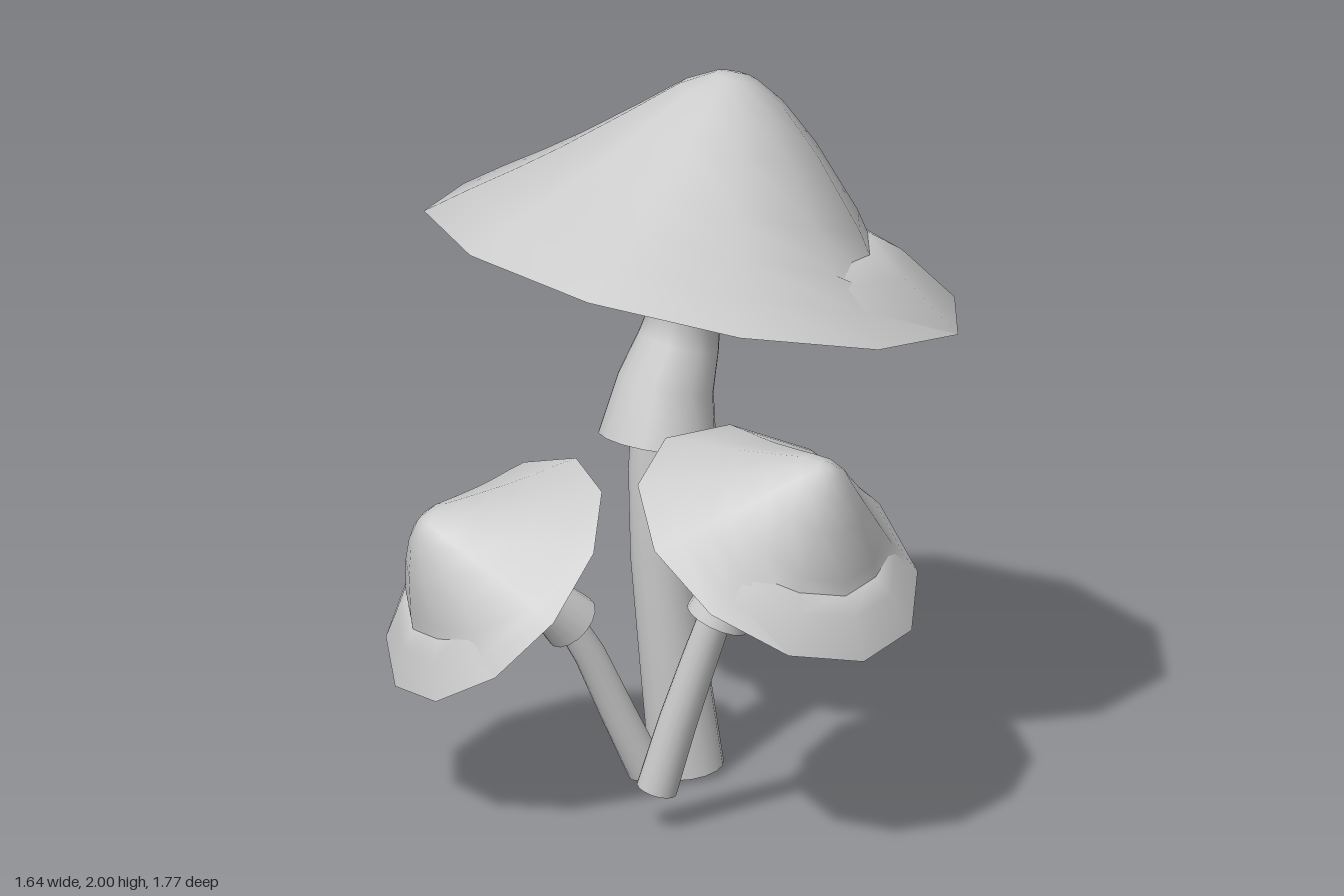
import * as THREE from 'three';
import { mergeVertices } from 'three/addons/utils/BufferGeometryUtils.js';

const material = new THREE.MeshStandardMaterial({ color: 0xcccccc, side: THREE.DoubleSide });
const UP = new THREE.Vector3(0, 1, 0);
const V = (a) => new THREE.Vector3(...a);

function makeMesh(name, geometry) {
  geometry.deleteAttribute('uv');
  geometry.deleteAttribute('normal');
  const welded = mergeVertices(geometry, 1e-4);
  welded.computeVertexNormals();
  const mesh = new THREE.Mesh(welded, material);
  mesh.name = name;
  return mesh;
}

// Open tube through rows of [x, y, z, radius]; endAxis can tilt the last ring
function loft(rows, endAxis, sides = 16) {
  const centres = rows.map((r) => V(r.slice(0, 3)));
  const last = rows.length - 1;
  const geometry = new THREE.LatheGeometry(rows.map((r, i) => new THREE.Vector2(1, i)), sides);
  const turns = rows.map((r, i) => {
    const t = i === last && endAxis
      ? endAxis.clone()
      : centres[Math.min(i + 1, last)].clone().sub(centres[Math.max(i - 1, 0)]);
    return new THREE.Quaternion().setFromUnitVectors(UP, t.normalize());
  });
  const pos = geometry.attributes.position;
  const v = new THREE.Vector3();
  for (let k = 0; k < pos.count; k++) {
    v.fromBufferAttribute(pos, k);
    const i = Math.round(v.y);
    v.setY(0).multiplyScalar(rows[i][3]).applyQuaternion(turns[i]).add(centres[i]);
    pos.setXYZ(k, v.x, v.y, v.z);
  }
  return geometry;
}

// Eleven-sided cap surface from [radius, height, dent]; dent sinks the local +x side
function capSurface(profile) {
  const geometry = new THREE.LatheGeometry(
    profile.map(([r, h]) => new THREE.Vector2(r, h)), 11, Math.PI);
  const pos = geometry.attributes.position;
  for (let k = 0; k < pos.count; k++) {
    const dent = profile[k % profile.length][2] || 0;
    const angle = Math.atan2(pos.getZ(k), pos.getX(k)) - 0.17;
    const weight = THREE.MathUtils.smoothstep(Math.cos(angle), 0.25, 0.9);
    pos.setY(k, pos.getY(k) - dent * weight);
  }
  return geometry;
}

const CAP_TOP = [[0.76, 0], [0.65, 0.085, 0.05], [0.54, 0.165, 0.11], [0.43, 0.25, 0.04],
  [0.27, 0.385], [0.15, 0.49], [0.06, 0.542], [0, 0.552]];
const CAP_UNDER = [[0.19, -0.01], [0.28, 0.07], [0.45, 0.16], [0.58, 0.115], [0.76, 0]];

function mushroom({ name, centre, axis, scale, stem, collar }) {
  const group = new THREE.Group();
  group.name = name;
  const a = V(axis).normalize();

  // Cap leans so that its dented side points downhill
  const w = new THREE.Vector3(a.x, 0, a.z).cross(a).normalize();
  const u = a.clone().cross(w);
  const cap = new THREE.Group();
  cap.name = 'cap';
  cap.add(makeMesh('capTop', capSurface(CAP_TOP)), makeMesh('capUnderside', capSurface(CAP_UNDER)));
  cap.quaternion.setFromRotationMatrix(new THREE.Matrix4().makeBasis(u, a, w));
  cap.position.copy(V(centre));
  cap.scale.setScalar(scale);

  // Collar flares out again where it meets the underside of the cap
  const joint = V(centre).addScaledVector(a, -0.01 * scale);
  const collarRows = [...collar, [joint.x, joint.y, joint.z, 0.19 * scale]];
  group.add(cap, makeMesh('collar', loft(collarRows, a)), makeMesh('stem', loft(stem)));
  return group;
}

export function createModel() {
  const model = new THREE.Group();
  model.name = 'mushroomCluster';
  model.add(
    mushroom({
      name: 'tallMushroom', centre: [0.07, 1.46, -0.14], axis: [0.23, 1, 0.02], scale: 1,
      stem: [[0.03, 0.02, -0.12, 0.103], [-0.01, 0.32, -0.12, 0.094], [-0.05, 0.65, -0.12, 0.086],
        [-0.06, 0.9, -0.12, 0.083], [-0.05, 1.1, -0.12, 0.08]],
      collar: [[-0.06, 0.98, -0.125, 0.165], [-0.03, 1.14, -0.13, 0.135], [0.01, 1.25, -0.13, 0.115],
        [0.035, 1.35, -0.13, 0.098]],
    }),
    mushroom({
      name: 'frontMushroom', centre: [-0.05, 0.87, 0.52], axis: [0.2, 0.82, 0.54], scale: 0.57,
      stem: [[-0.28, 0.12, 0.25, 0.057], [-0.24, 0.32, 0.295, 0.054], [-0.2, 0.5, 0.34, 0.05],
        [-0.16, 0.68, 0.39, 0.046]],
      collar: [[-0.165, 0.635, 0.385, 0.092], [-0.14, 0.71, 0.405, 0.078], [-0.105, 0.79, 0.445, 0.056]],
    }),
    mushroom({
      name: 'sideMushroom', centre: [-0.58, 0.67, -0.12], axis: [-0.73, 0.68, -0.08], scale: 0.53,
      stem: [[-0.11, 0.04, -0.1, 0.052], [-0.2, 0.23, -0.11, 0.048], [-0.28, 0.4, -0.115, 0.044],
        [-0.36, 0.53, -0.12, 0.04]],
      collar: [[-0.335, 0.5, -0.12, 0.083], [-0.4, 0.565, -0.12, 0.07], [-0.49, 0.63, -0.12, 0.052]],
    }),
  );
  return model;
}
